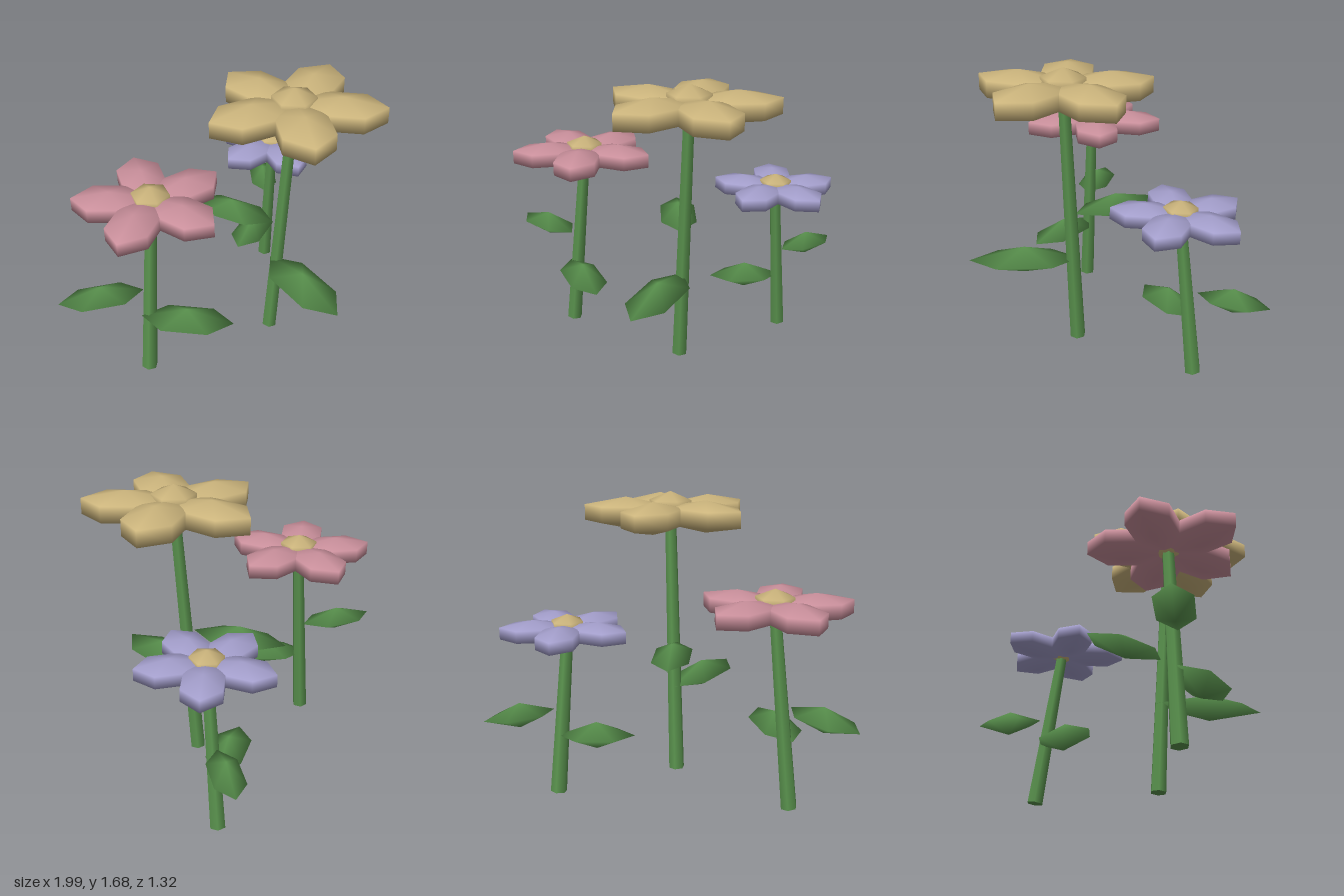
import * as THREE from 'three';

const mat = (name, color) => {
  const m = new THREE.MeshStandardMaterial({ color });
  m.name = name;
  return m;
};

export function createModel() {
  const green = mat('leafGreen', 0x5a934e);
  const tan = mat('tan', 0xcbb47c);
  const pink = mat('pink', 0xc98f9b);
  const lilac = mat('lilac', 0xa39ecb);

  // coarse six-sided blobs: petals and centres have a rim band, leaves a sharp rim
  const blob = new THREE.SphereGeometry(1, 6, 3);
  const diamond = new THREE.SphereGeometry(1, 6, 2);

  const part = (name, geometry, material, parent) => {
    const mesh = new THREE.Mesh(geometry, material);
    mesh.name = name;
    parent.add(mesh);
    return mesh;
  };

  // tapered stem leaning from base to top
  const addStem = (parent, base, top) => {
    const dir = top.clone().sub(base);
    const stem = part('stem', new THREE.CylinderGeometry(0.033, 0.047, dir.length(), 6), green, parent);
    stem.position.copy(base).addScaledVector(dir, 0.5);
    stem.quaternion.setFromUnitVectors(new THREE.Vector3(0, 1, 0), dir.normalize());
  };

  // pos: middle of the leaf, dx/dz: from the middle to the tip
  const addLeaf = (parent, { pos, dx, dz, width, height }) => {
    const leaf = part('leaf', diamond, green, parent);
    leaf.position.set(...pos);
    leaf.scale.set(Math.hypot(dx, dz), height, width);
    leaf.rotation.y = Math.atan2(-dz, dx);
  };

  // five petals around a domed centre
  const addHead = (parent, top, size, turn, material) => {
    const head = new THREE.Group();
    head.name = 'flowerHead';
    head.position.copy(top);
    head.scale.setScalar(size);
    parent.add(head);
    for (let i = 0; i < 5; i++) {
      const a = THREE.MathUtils.degToRad(turn + i * 72);
      const petal = part('petal', blob, material, head);
      petal.position.set(0.257 * Math.cos(a), 0, -0.257 * Math.sin(a));
      petal.rotation.y = a;
      petal.scale.set(0.278, 0.09, 0.184);
    }
    const centre = part('flowerCentre', blob, tan, head);
    centre.position.y = 0.024;
    centre.scale.set(0.142, 0.1, 0.142);
  };

  const flowers = [
    {
      name: 'tallFlower', base: [0.085, 0.003, 0.06], top: [0.137, 1.555, 0.162],
      size: 1, turn: 8.8, color: tan,
      leaves: [
        { pos: [-0.013, 0.53, 0.352], dx: -0.11, dz: 0.3, width: 0.14, height: 0.08 },
        { pos: [0.05, 0.805, -0.195], dx: -0.035, dz: -0.272, width: 0.12, height: 0.072 },
      ],
    },
    {
      name: 'pinkFlower', base: [-0.64, 0.003, -0.32], top: [-0.527, 1.137, -0.3],
      size: 0.855, turn: 54, color: pink,
      leaves: [
        { pos: [-0.815, 0.6, -0.467], dx: -0.183, dz: -0.15, width: 0.112, height: 0.072 },
        { pos: [-0.525, 0.405, -0.097], dx: 0.125, dz: 0.237, width: 0.127, height: 0.08 },
      ],
    },
    {
      name: 'lilacFlower', base: [0.685, 0.003, -0.39], top: [0.624, 0.95, -0.295],
      size: 0.745, turn: 23, color: lilac,
      leaves: [
        { pos: [0.842, 0.51, -0.517], dx: 0.152, dz: -0.13, width: 0.095, height: 0.072 },
        { pos: [0.46, 0.35, -0.34], dx: -0.215, dz: 0.04, width: 0.115, height: 0.08 },
      ],
    },
  ];

  const model = new THREE.Group();
  model.name = 'flowers';
  for (const f of flowers) {
    const flower = new THREE.Group();
    flower.name = f.name;
    model.add(flower);
    const top = new THREE.Vector3(...f.top);
    addStem(flower, new THREE.Vector3(...f.base), top);
    f.leaves.forEach((leaf) => addLeaf(flower, leaf));
    addHead(flower, top, f.size, f.turn, f.color);
  }
  return model;
}
